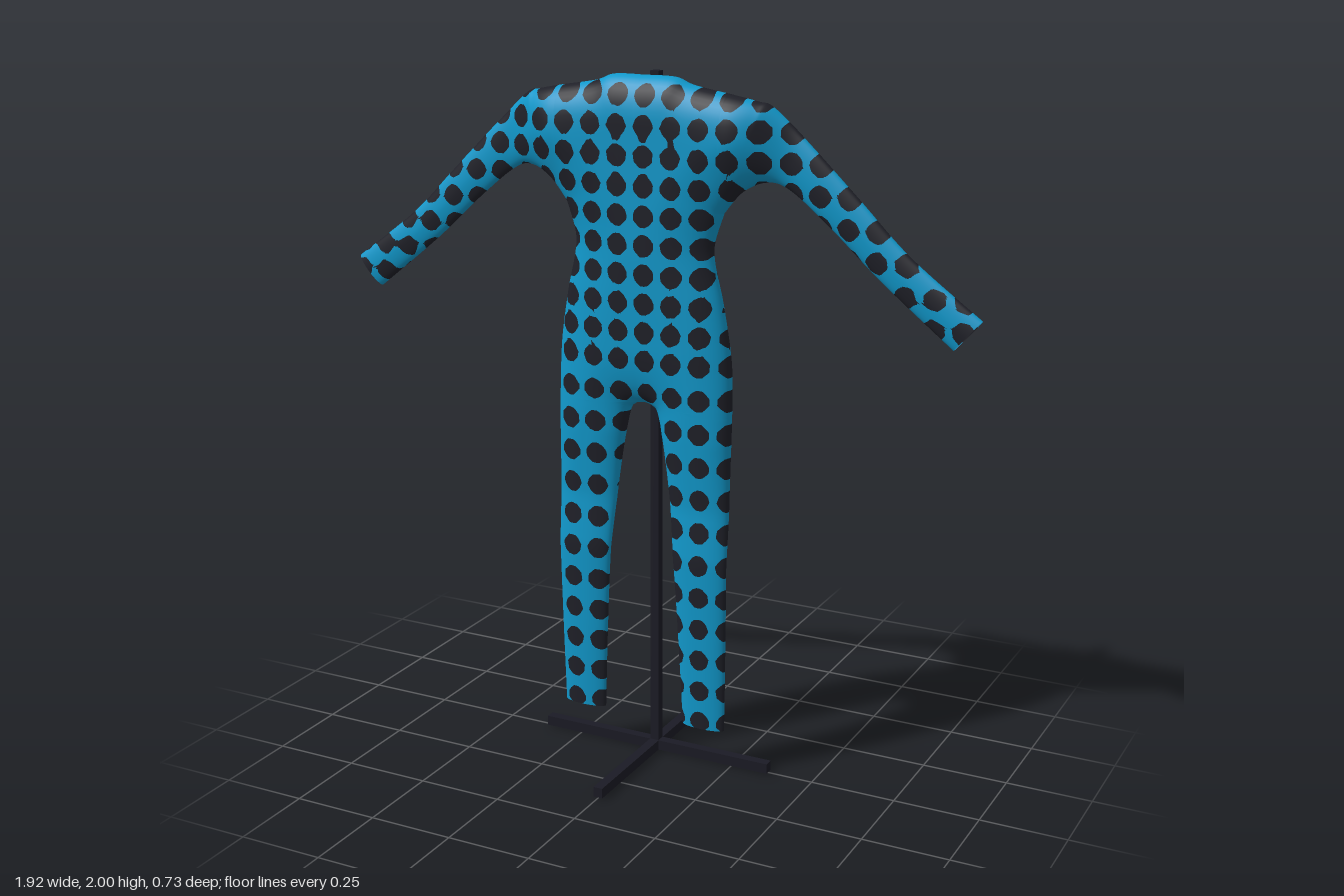
import * as THREE from 'three';
import { mergeVertices } from 'three/addons/utils/BufferGeometryUtils.js';

const N = 24; // quads across each cloth strip
const ease = (u) => (1 - Math.cos(Math.PI * u)) / 2; // crowds points towards the edges
const spline = (pts) => {
  const c = new THREE.SplineCurve(pts.map(([x, y]) => new THREE.Vector2(x, y)));
  return (u) => c.getPoint(u);
};

// Body profile by height: y, middle z, half thickness, edge rounding width
const PROFILE = [
  [0.14, 0.08, 0.02, 0.07], [0.4, 0.087, 0.023, 0.07], [0.65, 0.093, 0.025, 0.08],
  [0.8, 0.08, 0.03, 0.08], [1.0, 0.075, 0.046, 0.09], [1.2, 0.068, 0.062, 0.16],
  [1.5, 0.073, 0.063, 0.2], [1.75, 0.07, 0.066, 0.17], [1.9, 0.07, 0.066, 0.11], [2, 0.07, 0.064, 0.1],
];

function profileAt(x, y) {
  let i = 0;
  while (i < PROFILE.length - 2 && y > PROFILE[i + 1][0]) i++;
  const a = PROFILE[i], b = PROFILE[i + 1];
  const k = THREE.MathUtils.clamp((y - a[0]) / (b[0] - a[0]), 0, 1);
  const body = [1, 2, 3].map((j) => a[j] + (b[j] - a[j]) * k);
  // Flatten into the sleeves
  const arm = y > 1.3 ? THREE.MathUtils.smoothstep(x, 0.26, 0.44) : 0;
  return [0.052, 0.019, 0.06].map((v, j) => body[j] + (v - body[j]) * arm);
}

// Octagonal polka dots on a regular grid; negative inside a dot
function dotField(x, y) {
  const sx = 0.0805, sy = y < 1.18 ? 0.096 : 0.0805;
  const gx = (x - 0.028) / sx, gy = (y - 1.222) / sy;
  const dx = Math.abs(gx - Math.round(gx)) * sx, dy = Math.abs(gy - Math.round(gy)) * sy;
  return Math.max(dx, dy, (dx + dy) * 0.74) - 0.0305;
}

function suitSurface() {
  // Strips of the left half: from curve a to curve b; edges tells which curves are outline
  const strips = [
    { // leg
      rows: 72, flip: false, edges: 'ab',
      a: spline([[0.127, 0.143], [0.116, 0.386], [0.1, 0.65], [0.075, 0.89], [0.048, 1.05], [0.028, 1.083], [0, 1.09]]),
      b: spline([[0.258, 0.143], [0.262, 0.386], [0.265, 0.65], [0.266, 0.89], [0.267, 1.05], [0.267, 1.08], [0.267, 1.09]]),
    },
    { // trunk
      rows: 40, flip: false, edges: 'b',
      a: (u) => new THREE.Vector2(0, 1.09 + 0.55 * u),
      b: spline([[0.267, 1.09], [0.262, 1.235], [0.238, 1.39], [0.213, 1.5], [0.212, 1.56], [0.238, 1.64]]),
    },
    { // chest
      rows: N, flip: true, edges: 'b',
      a: (u) => new THREE.Vector2(0.238 * ease(u), 1.64),
      b: ((c) => (u) => c(ease(u)))(spline([[0, 1.995], [0.09, 1.994], [0.145, 1.975], [0.25, 1.957]])),
    },
    { // sleeve
      rows: 56, flip: true, edges: 'ab',
      a: spline([[0.238, 1.64], [0.29, 1.7], [0.355, 1.73], [0.42, 1.714], [0.54, 1.62], [0.68, 1.495], [0.884, 1.333]]),
      b: spline([[0.25, 1.957], [0.33, 1.941], [0.375, 1.925], [0.487, 1.825], [0.62, 1.698], [0.76, 1.564], [0.958, 1.418]]),
    },
  ];

  // Outline segments; hems and cuffs stay open
  const outline = [];
  for (const s of strips) {
    for (const e of s.edges) {
      for (let i = 0; i < s.rows; i++) outline.push([s[e](i / s.rows), s[e]((i + 1) / s.rows)]);
    }
  }
  const edgeDistance = (x, y) => {
    let best = Infinity;
    for (const [p, q] of outline) {
      const ex = q.x - p.x, ey = q.y - p.y;
      const k = THREE.MathUtils.clamp(((x - p.x) * ex + (y - p.y) * ey) / (ex * ex + ey * ey || 1), 0, 1);
      best = Math.min(best, Math.hypot(x - p.x - ex * k, y - p.y - ey * k));
    }
    return best;
  };

  const pos = [];
  for (const s of strips) {
    const grid = [];
    for (let i = 0; i <= s.rows; i++) {
      const a = s.a(i / s.rows), b = s.b(i / s.rows);
      grid.push(Array.from({ length: N + 1 }, (_, j) => {
        const p = a.clone().lerp(b, ease(j / N));
        const [mid, half, round] = profileAt(p.x, p.y);
        const d = Math.min(edgeDistance(p.x, p.y) / round, 1);
        return { x: p.x, y: p.y, mid, t: half * Math.sqrt(d * (2 - d)) };
      }));
    }
    // Left and right halves, front and back sheets
    for (const mx of [1, -1]) for (const mz of [1, -1]) {
      const reverse = s.flip !== (mx * mz < 0);
      const tri = (...v) => {
        if (reverse) v.reverse();
        for (const p of v) pos.push(p.x * mx, p.y, p.mid + p.t * mz);
      };
      for (let i = 0; i < s.rows; i++) for (let j = 0; j < N; j++) {
        const A = grid[i][j], B = grid[i][j + 1], C = grid[i + 1][j + 1], D = grid[i + 1][j];
        tri(A, B, C);
        tri(A, C, D);
      }
    }
  }
  const g = new THREE.BufferGeometry();
  g.setAttribute('position', new THREE.Float32BufferAttribute(pos, 3));
  const welded = mergeVertices(g, 1e-4);
  welded.computeVertexNormals();
  return welded.toNonIndexed();
}

// Cut every triangle along the dot borders and keep one side
function cutByDots(source, sign) {
  const P = source.attributes.position, M = source.attributes.normal;
  const pos = [], nor = [];
  for (let i = 0; i < P.count; i += 3) {
    const v = [0, 1, 2].map((k) => {
      const p = new THREE.Vector3().fromBufferAttribute(P, i + k);
      return { p, n: new THREE.Vector3().fromBufferAttribute(M, i + k), f: sign * dotField(p.x, p.y) };
    });
    const poly = [];
    v.forEach((a, k) => {
      const b = v[(k + 1) % 3];
      if (a.f >= 0) poly.push(a);
      if ((a.f >= 0) !== (b.f >= 0)) {
        const t = a.f / (a.f - b.f);
        poly.push({ p: a.p.clone().lerp(b.p, t), n: a.n.clone().lerp(b.n, t).normalize() });
      }
    });
    for (let k = 1; k < poly.length - 1; k++) {
      for (const c of [poly[0], poly[k], poly[k + 1]]) {
        pos.push(...c.p.toArray());
        nor.push(...c.n.toArray());
      }
    }
  }
  const g = new THREE.BufferGeometry();
  g.setAttribute('position', new THREE.Float32BufferAttribute(pos, 3));
  g.setAttribute('normal', new THREE.Float32BufferAttribute(nor, 3));
  return g;
}

export function createModel() {
  const blue = new THREE.MeshStandardMaterial({ color: 0x1199cc, side: THREE.DoubleSide });
  blue.name = 'blue cloth';
  const dark = new THREE.MeshStandardMaterial({ color: 0x1f2028, side: THREE.DoubleSide });
  dark.name = 'dark dots';
  const metal = new THREE.MeshStandardMaterial({ color: 0x1b1b25 });
  metal.name = 'dark stand';

  const model = new THREE.Group();
  model.name = 'suitOnStand';
  const add = (parent, name, geometry, material, x = 0, y = 0, z = 0) => {
    const m = new THREE.Mesh(geometry, material);
    m.name = name;
    m.position.set(x, y, z);
    parent.add(m);
  };

  // Suit
  const suit = new THREE.Group();
  suit.name = 'suit';
  const surface = suitSurface();
  add(suit, 'suitCloth', cutByDots(surface, 1), blue);
  add(suit, 'suitDots', cutByDots(surface, -1), dark);

  // Stand
  const stand = new THREE.Group();
  stand.name = 'stand';
  add(stand, 'pole', new THREE.BoxGeometry(0.026, 2, 0.026), metal, 0, 1);
  add(stand, 'footAcross', new THREE.BoxGeometry(0.73, 0.03, 0.028), metal, 0, 0.017);
  add(stand, 'footAlong', new THREE.BoxGeometry(0.028, 0.03, 0.73), metal, 0, 0.017);
  add(stand, 'hangerBar', new THREE.BoxGeometry(0.76, 0.032, 0.032), metal, 0, 1.86, -0.004);

  model.add(suit, stand);
  return model;
}
